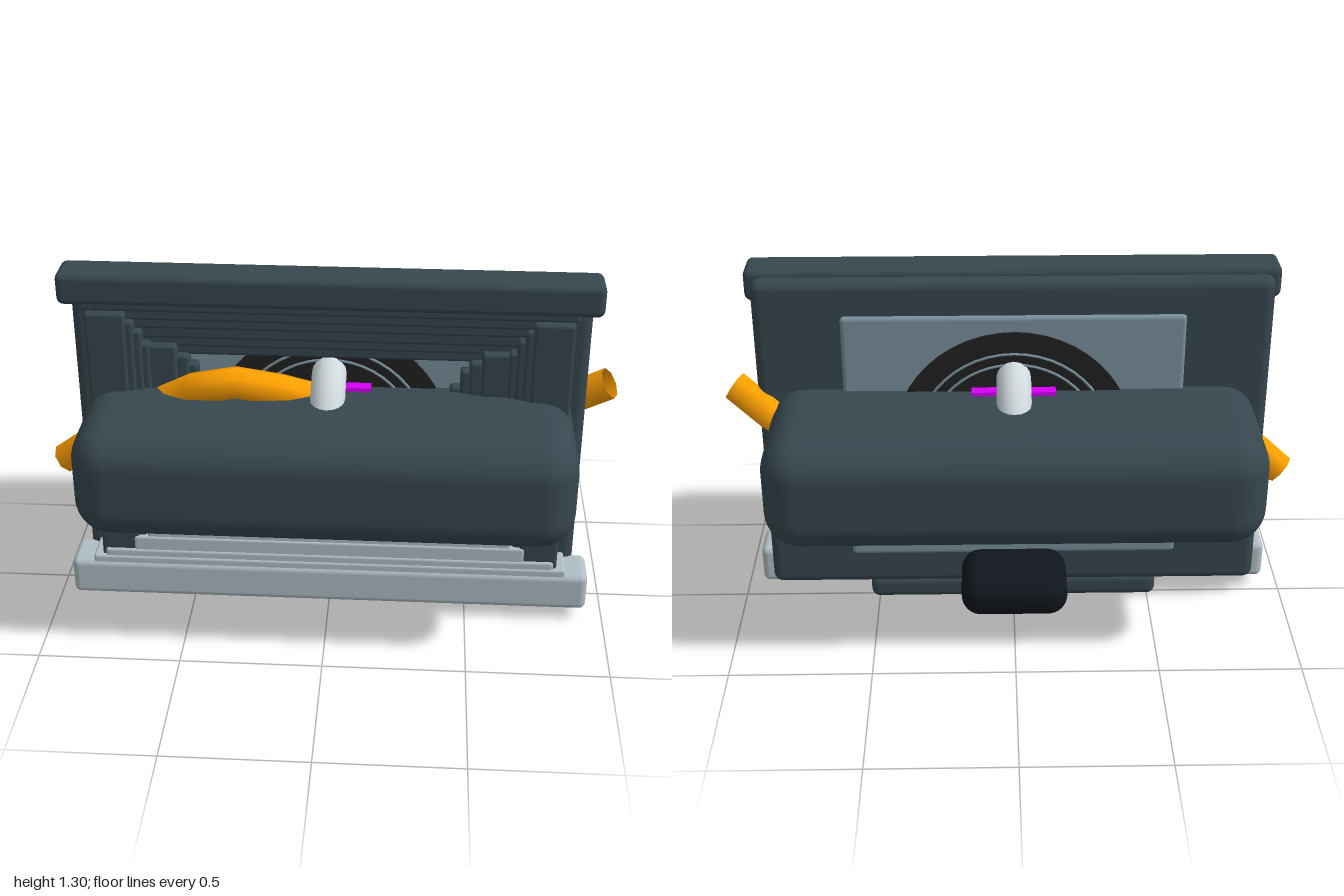
import * as THREE from 'three';
import { RoundedBoxGeometry } from 'three/addons/geometries/RoundedBoxGeometry.js';

const mat = (color, side = THREE.FrontSide) => new THREE.MeshStandardMaterial({ color, side });

export function createModel() {
  const model = new THREE.Group();
  const slate = mat(0x37474f), pale = mat(0xb0bec5), white = mat(0xcfd8dc), grey = mat(0x78909c);
  const black = mat(0x212121), ink = mat(0x10161c), magenta = mat(0xd500f9);
  const orange = mat(0xffa000, THREE.DoubleSide);

  function add(name, geometry, material, x = 0, y = 0, z = 0) {
    const mesh = new THREE.Mesh(geometry, material);
    mesh.name = name;
    mesh.position.set(x, y, z);
    model.add(mesh);
    return mesh;
  }
  // Rounded block given by its limits on each axis
  function block(name, material, [x0, x1], [y0, y1], [z0, z1], r = 0.02, seg = 3) {
    const g = new RoundedBoxGeometry(x1 - x0, y1 - y0, z1 - z0, seg, r);
    return add(name, g, material, (x0 + x1) / 2, (y0 + y1) / 2, (z0 + z1) / 2);
  }

  // Wall slab, inset plate and foot
  block('wallSlab', slate, [-0.89, 0.89], [0.075, 1.28], [-0.045, 0.045], 0.035);
  block('insetPlate', grey, [-0.59, 0.59], [0.21, 1.155], [-0.06, 0.06], 0.015);
  block('foot', slate, [-0.53, 0.53], [0, 0.09], [-0.035, 0.035], 0.03);

  // Top ledge and the lintel steps shrinking beneath it
  block('topLedge', slate, [-0.915, 0.915], [1.19, 1.305], [0, 0.143], 0.025);
  const lintels = [[0.84, 1.17], [0.8, 1.135], [0.74, 1.1], [0.69, 1.06], [0.65, 1.025], [0.6, 0.99]];
  lintels.forEach(([w, y], i) =>
    block('lintelStep', slate, [-w, w], [y, 1.22], [0, 0.135 - i * 0.011], 0.012));

  // Bottom sill and the steps shrinking above it
  block('sill', pale, [-0.937, 0.937], [0.045, 0.19], [0.015, 0.175], 0.025);
  const sills = [[0.855, 0.21], [0.81, 0.237], [0.705, 0.29], [0.655, 0.325], [0.605, 0.352], [0.56, 0.38]];
  sills.forEach(([w, y], i) =>
    block('sillStep', pale, [-w, w], [0.1, y], [0.02, 0.168 - i * 0.005], 0.01));

  // Stepped side columns: an outer and an inner bank, [inner edge, top]
  const columns = [[0.685, 1.17], [0.66, 1.14], [0.635, 1.1], [0.61, 1.05],
    [0.52, 1.04], [0.48, 1.0], [0.45, 0.965], [0.415, 0.9]];
  for (const s of [-1, 1]) {
    columns.forEach(([x, top], i) => {
      const outer = i < 4 ? 0.823 : 0.63;
      const depth = 0.154 - i * 0.009;
      block('columnStep', slate, s > 0 ? [x, outer] : [-outer, -x], [0.2, top], [0, depth], 0.012);
    });
  }

  // Central disc with rings on both faces
  const cy = 0.68;
  const disc = new THREE.CylinderGeometry(0.42, 0.42, 0.136, 48);
  add('disc', disc.rotateX(Math.PI / 2), black, 0, cy, 0);
  for (const z of [-0.068, 0.068])
    for (const r of [0.3, 0.34])
      add('discRing', new THREE.TorusGeometry(r, 0.005, 6, 48), grey, 0, cy, z);
  add('core', new THREE.BoxGeometry(0.29, 0.43, 0.22), magenta, 0, cy, 0);

  // Upright ring passing through the disc
  const hoop = new THREE.TorusGeometry(0.26, 0.06, 16, 48);
  add('hoop', hoop.rotateY(Math.PI / 2), white, 0, cy, 0);

  // Large rounded body running front to back
  block('body', slate, [-0.845, 0.845], [0.475, 0.88], [-0.507, 0.507], 0.125, 6);

  // Pipe weaving through the body, open at both ends
  const path = new THREE.CatmullRomCurve3([
    [-0.965, 0.52, 0], [-0.6, 0.81, 0.1], [-0.34, 0.94, 0.18], [-0.06, 0.85, 0.1],
    [0.3, 0.66, -0.05], [0.7, 0.71, -0.1], [0.97, 0.88, -0.01],
  ].map((p) => new THREE.Vector3(...p)));
  add('pipe', new THREE.TubeGeometry(path, 14, 0.056, 8, false), orange);

  // Rear roller and cushion
  const roller = new THREE.CylinderGeometry(0.077, 0.077, 0.48, 32);
  add('rearRoller', roller.rotateZ(Math.PI / 2), slate, 0, 0.4, -0.155);
  block('rearCushion', ink, [-0.19, 0.19], [0.08, 0.235], [-0.31, -0.02], 0.07, 5);

  return model;
}
